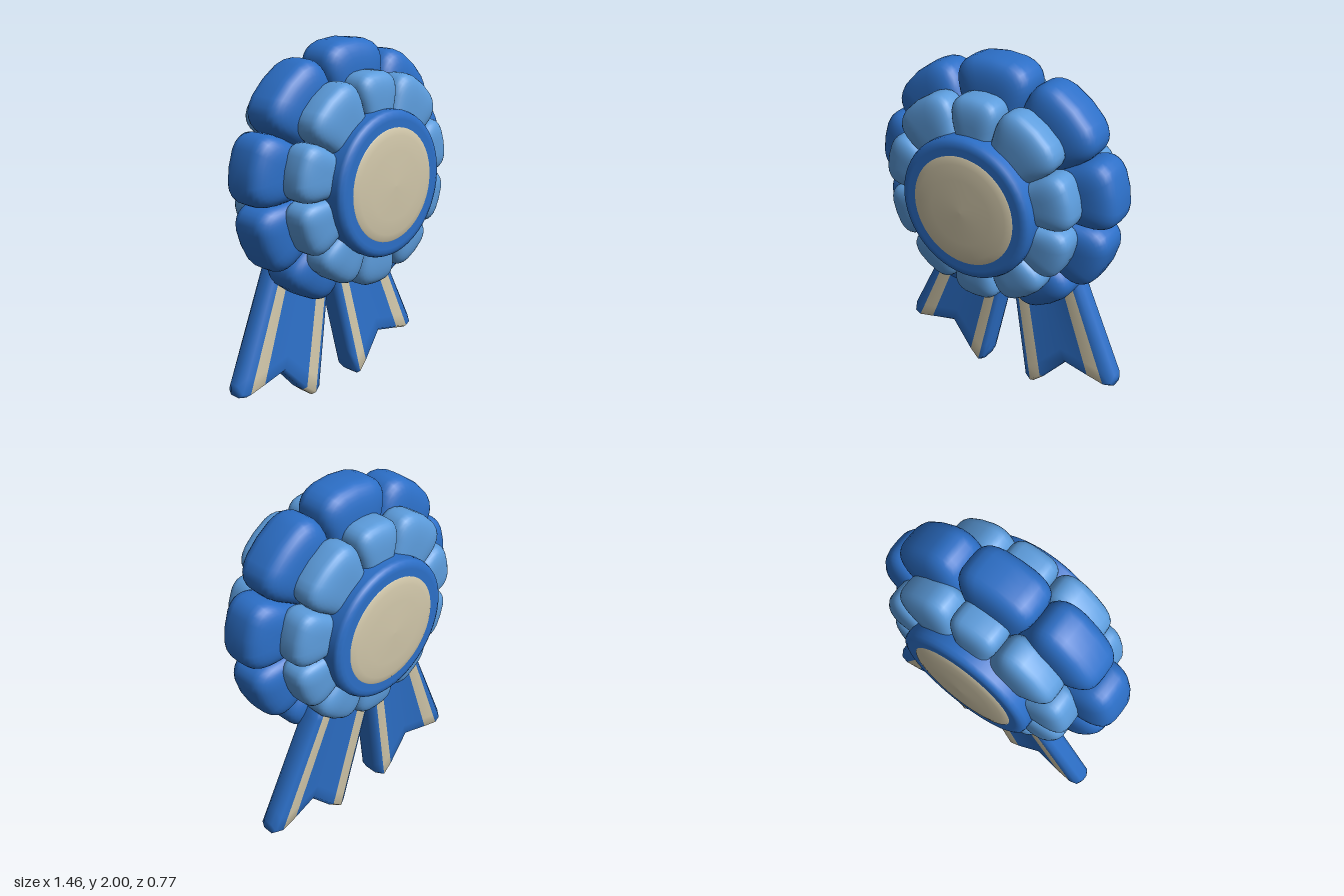
import * as THREE from 'three';
import { mergeVertices } from 'three/addons/utils/BufferGeometryUtils.js';

const CENTER_Y = 1.27;
const rad = THREE.MathUtils.degToRad;
const lerp = THREE.MathUtils.lerp;
const spow = (v, e) => Math.sign(v) * Math.abs(v) ** e;

function material(name, color) {
  const m = new THREE.MeshStandardMaterial({ color });
  m.name = name;
  return m;
}

// Puffy petal: a rounded block bent into a polar sector.
function petalGeometry(a0, a1, r0, r1, zMid, zHalf) {
  let g = new THREE.SphereGeometry(1, 32, 20);
  g.deleteAttribute('uv');
  g.deleteAttribute('normal');
  g = mergeVertices(g, 1e-5);
  const p = g.attributes.position;
  const mid = rad((a0 + a1) / 2), half = rad((a1 - a0) / 2) * 1.04;
  const rMid = (r0 + r1) / 2, rHalf = (r1 - r0) / 2;
  for (let i = 0; i < p.count; i++) {
    const r = rMid + rHalf * spow(p.getX(i), 0.55);
    const a = mid - half * spow(p.getZ(i), 0.55);
    const z = zMid + zHalf * spow(p.getY(i), 0.55);
    p.setXYZ(i, r * Math.cos(a), r * Math.sin(a), z);
  }
  g.computeVertexNormals();
  return g;
}

// Ring of petals, mirrored about x = 0; seams run from top to bottom on the +x side.
function petalRing(name, seams, radii, r0, zMid, zHalf, mat) {
  const ring = new THREE.Group();
  ring.name = name;
  const add = (a0, a1, r) => {
    const m = new THREE.Mesh(petalGeometry(a0, a1, r0, r, zMid, zHalf), mat);
    m.name = 'petal';
    ring.add(m);
  };
  add(seams[0], 180 - seams[0], radii[0]);
  for (let i = 0; i < seams.length - 1; i++) {
    add(seams[i + 1], seams[i], radii[i + 1]);
    add(180 - seams[i], 180 - seams[i + 1], radii[i + 1]);
  }
  const last = seams[seams.length - 1];
  add(-180 - last, last, radii[radii.length - 1]);
  ring.position.y = CENTER_Y;
  return ring;
}

// Ribbon tail: closed cross-sections swept down to a swallow-tail end.
function ribbonGeometry(side) {
  const across = [0, 0.04, 0.1, 0.25, 0.5, 0.75, 0.9, 0.96, 1];
  const puff = [0.45, 0.85, 1, 0.95, 0.75, 0.95, 1, 0.85, 0.45];
  const end = [[0.135, 0.07], [0.155, 0.025], [0.19, 0], [0.25, 0.05], [0.39, 0.205],
    [0.55, 0.17], [0.65, 0.145], [0.695, 0.155], [0.705, 0.2]];
  const n = across.length, rows = 10, loop = 2 * n;
  const pos = [], blue = [], cream = [];
  for (let j = 0; j <= rows; j++) {
    const t = j === rows ? 1 : (j / (rows - 1)) * 0.97;
    const shrink = j === rows ? 0.55 : 1;
    for (let k = 0; k < loop; k++) {
      const i = k < n ? k : loop - 1 - k;
      const s = across[i];
      const x = lerp(lerp(-0.02, 0.37, s), end[i][0], t);
      const y = lerp(lerp(0.82, 0.9, s), end[i][1], t);
      const zMid = lerp(-0.16, lerp(-0.1, -0.125, s), t);
      const h = lerp(0.08, 0.066, s) * puff[i] * shrink;
      pos.push(side * x, y, zMid + (k < n ? h : -h));
    }
  }
  const quad = (a, b, c, d, i) => {
    const list = i === 2 || i === 5 ? cream : blue;
    if (side > 0) list.push(a, b, c, a, c, d);
    else list.push(a, c, b, a, d, c);
  };
  for (let j = 0; j < rows; j++) {
    for (let k = 0; k < loop; k++) {
      const k2 = (k + 1) % loop, a = j * loop, b = a + loop;
      const strip = k < n - 1 ? k : k >= n && k < loop - 1 ? loop - 2 - k : -1;
      quad(a + k, b + k, b + k2, a + k2, strip);
    }
  }
  // Caps at the lower and upper ends
  const e = rows * loop;
  for (let i = 0; i < n - 1; i++) {
    quad(e + i, e + loop - 1 - i, e + loop - 2 - i, e + i + 1, i);
    quad(i, i + 1, loop - 2 - i, loop - 1 - i, -1);
  }
  const g = new THREE.BufferGeometry();
  g.setAttribute('position', new THREE.Float32BufferAttribute(pos, 3));
  g.setIndex([...blue, ...cream]);
  g.addGroup(0, blue.length, 0);
  g.addGroup(blue.length, cream.length, 1);
  g.computeVertexNormals();
  return g;
}

const lathe = (pts) => new THREE.LatheGeometry(pts.map(([x, y]) => new THREE.Vector2(x, y)), 48);

export function createModel() {
  const model = new THREE.Group();
  model.name = 'rosette';
  const blue = material('blue', 0x2c6fc7);
  const lightBlue = material('light blue', 0x5c9cdc);
  const cream = material('cream', 0xd0c6a9);

  // Outer ring, with a smaller petal tucked in between the ribbons
  model.add(petalRing('outerPetals', [70, 29, -5, -40, -76],
    [0.73, 0.74, 0.735, 0.715, 0.695, 0.6], 0.2, 0, 0.147, blue));

  // Front and back inner rings
  for (const [name, dir] of [['front', 1], ['back', -1]]) {
    model.add(petalRing(name + 'InnerPetals', [74, 32, -3, -38, -74],
      [0.575, 0.6, 0.575, 0.565, 0.565, 0.57], 0.15, dir * 0.19, 0.107, lightBlue));

    // Button with a domed face
    const button = new THREE.Group();
    button.name = name + 'Button';
    const rim = new THREE.Mesh(
      lathe([[0.385, 0.1], [0.388, 0.33], [0.38, 0.35], [0.36, 0.36], [0.34, 0.362], [0, 0.362]]), blue);
    rim.name = 'buttonRim';
    const face = new THREE.Mesh(
      lathe([[0.305, 0.358], [0.295, 0.366], [0.26, 0.374], [0.18, 0.381], [0, 0.386]]), cream);
    face.name = 'buttonFace';
    button.add(rim, face);
    button.rotation.x = dir * Math.PI / 2;
    button.position.y = CENTER_Y;
    model.add(button);
  }

  // Striped ribbon tails
  for (const [name, side] of [['leftRibbon', 1], ['rightRibbon', -1]]) {
    const ribbon = new THREE.Mesh(ribbonGeometry(side), [blue, cream]);
    ribbon.name = name;
    model.add(ribbon);
  }
  return model;
}
